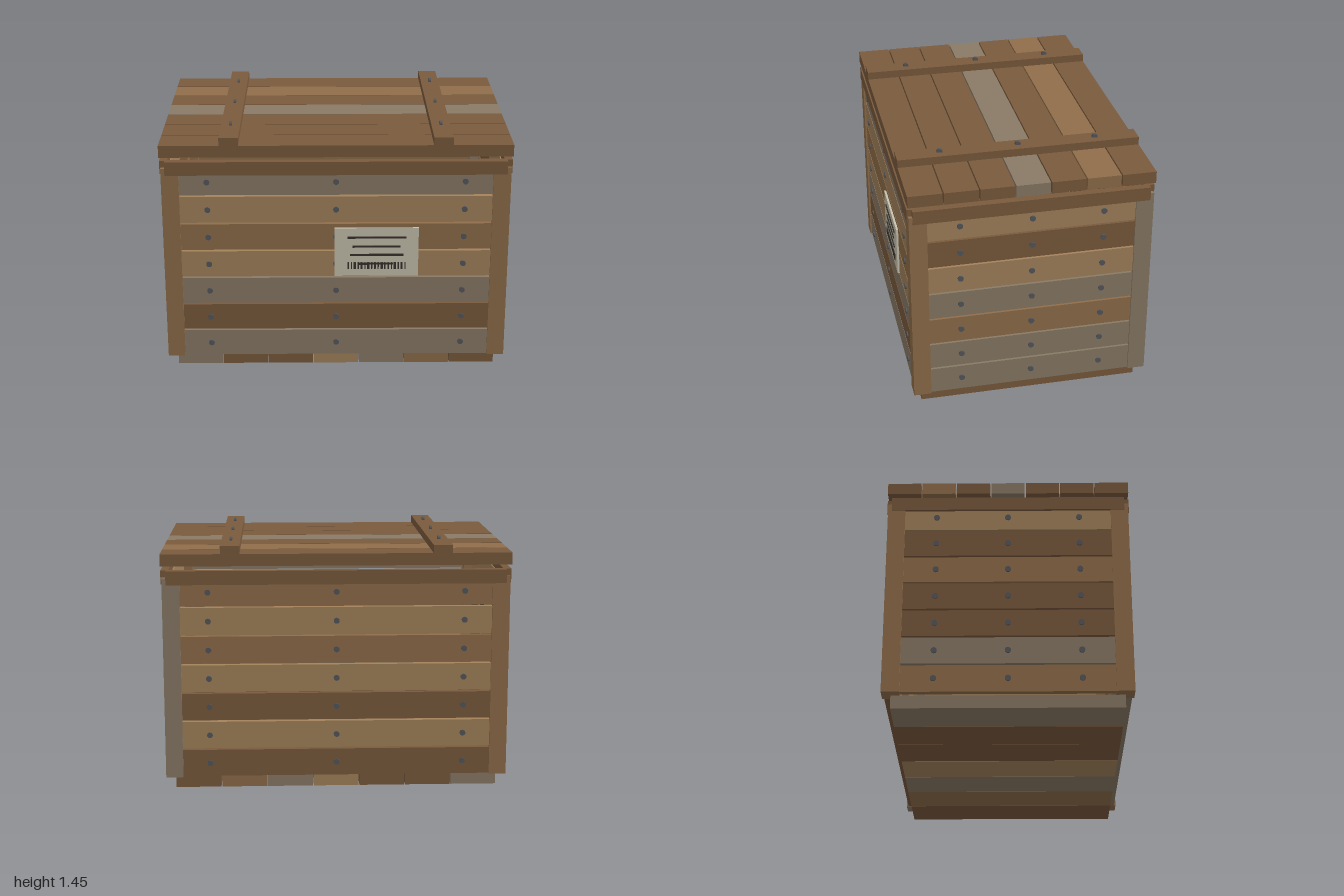
import * as THREE from 'three';

const mat = (color) => new THREE.MeshStandardMaterial({ color });
const WOOD = { D: mat(0x7b5b3d), M: mat(0x906e4a), L: mat(0xa4835c), G: mat(0x8a7b66) };
const METAL = mat(0x55585c);
const PAPER = mat(0xcac4b0);
const INK = mat(0x38322c);

// Box given by its min/max extents along each axis
function box(parent, name, material, [x0, x1], [y0, y1], [z0, z1]) {
  const mesh = new THREE.Mesh(new THREE.BoxGeometry(x1 - x0, y1 - y0, z1 - z0), material);
  mesh.position.set((x0 + x1) / 2, (y0 + y1) / 2, (z0 + z1) / 2);
  mesh.name = name;
  parent.add(mesh);
  return mesh;
}

// Bolt head: short cylinder with its axis along x or z
const boltGeometry = new THREE.CylinderGeometry(0.017, 0.017, 0.016, 12);
function bolt(parent, axis, x, y, z) {
  const mesh = new THREE.Mesh(boltGeometry, METAL);
  if (axis === 'x') mesh.rotation.z = Math.PI / 2;
  else mesh.rotation.x = Math.PI / 2;
  mesh.position.set(x, y, z);
  mesh.name = 'bolt';
  parent.add(mesh);
}

function group(parent, name) {
  const g = new THREE.Group();
  g.name = name;
  parent.add(g);
  return g;
}

export function createModel() {
  const crate = new THREE.Group();
  crate.name = 'crate';

  // Floor planks, left to right across x
  const floor = group(crate, 'floor');
  [...'GDDLGMD'].forEach((c, i) => {
    const x = (i - 3) * 0.269;
    box(floor, 'floorPlank', WOOD[c], [x - 0.132, x + 0.132], [0, 0.075], [-0.64, 0.64]);
  });

  // Corner posts
  const posts = group(crate, 'cornerPosts');
  for (const [sx, sz, c] of [[-1, 1, 'M'], [1, 1, 'M'], [1, -1, 'G'], [-1, -1, 'M']]) {
    const x = sx * 0.943, z = sz * 0.639;
    box(posts, 'cornerPost', WOOD[c], [x - 0.05, x + 0.05], [0.075, 1.25], [z - 0.05, z + 0.05]);
  }

  // Slatted walls, colours listed from the bottom up
  const walls = [
    ['frontWall', 'z', 1, 'GDGLMLG'],
    ['backWall', 'z', -1, 'DLDLMLM'],
    ['rightWall', 'x', 1, 'GGMGLDL'],
    ['leftWall', 'x', -1, 'MGDDMDL'],
  ];
  for (const [name, axis, side, colors] of walls) {
    const wall = group(crate, name);
    const outer = axis === 'z' ? 0.678 : 0.983;
    const thick = side > 0 ? [outer - 0.035, outer] : [-outer, 0.035 - outer];
    [...colors].forEach((c, i) => {
      const y = 0.157 + i * 0.168;
      const ys = [y - 0.079, y + 0.079];
      if (axis === 'z') box(wall, 'wallSlat', WOOD[c], [-0.895, 0.895], ys, thick);
      else box(wall, 'wallSlat', WOOD[c], thick, ys, [-0.591, 0.591]);
      for (const k of [-1, 0, 1]) {
        if (axis === 'z') bolt(wall, 'z', k * 0.735, y, side * outer);
        else bolt(wall, 'x', side * outer, y, k * 0.407);
      }
    });
  }

  // Rim boards around the top opening
  const rim = group(crate, 'rim');
  for (const s of [-1, 1]) {
    const pair = (a, b) => (s > 0 ? [a, b] : [-b, -a]);
    box(rim, 'longRimBoard', WOOD.D, [-0.97, 0.97], [1.21, 1.29], pair(0.65, 0.695));
    box(rim, 'shortRimBoard', WOOD.D, pair(0.955, 1), [1.21, 1.29], [-0.667, 0.667]);
  }

  // Lid planks, back to front, raised slightly above the rim
  const lid = group(crate, 'lid');
  [...'DMDGDDD'].forEach((c, i) => {
    const z = (i - 3) * 0.199;
    box(lid, 'lidPlank', WOOD[c], [-1, 1], [1.317, 1.386], [z - 0.096, z + 0.096]);
  });

  // Lid cleats with bolts standing on edge
  for (const s of [-1, 1]) {
    const x = s * 0.605;
    box(lid, 'lidCleat', WOOD.D, [x - 0.055, x + 0.055], [1.386, 1.432], [-0.693, 0.693]);
    for (const k of [-1, 0, 1]) bolt(lid, 'x', x, 1.436, k * 0.447);
  }

  // Shipping label with plain rules and a row of bars
  const label = group(crate, 'label');
  box(label, 'labelSheet', PAPER, [-0.01, 0.475], [0.588, 0.885], [0.67, 0.69]);
  const inkZ = [0.689, 0.695];
  for (const [x0, x1, y] of [[0.065, 0.405, 0.828], [0.095, 0.37, 0.772], [0.08, 0.388, 0.72], [0.13, 0.33, 0.665]]) {
    box(label, 'labelRule', INK, [x0, x1], [y - 0.006, y + 0.006], inkZ);
  }
  for (let i = 0; i < 18; i++) {
    const x = 0.07 + i * 0.0193;
    const w = [0.005, 0.003, 0.007, 0.004][i % 4];
    box(label, 'labelBar', INK, [x - w, x + w], [0.632, 0.674], [0.689, 0.6945]);
  }

  return crate;
}
